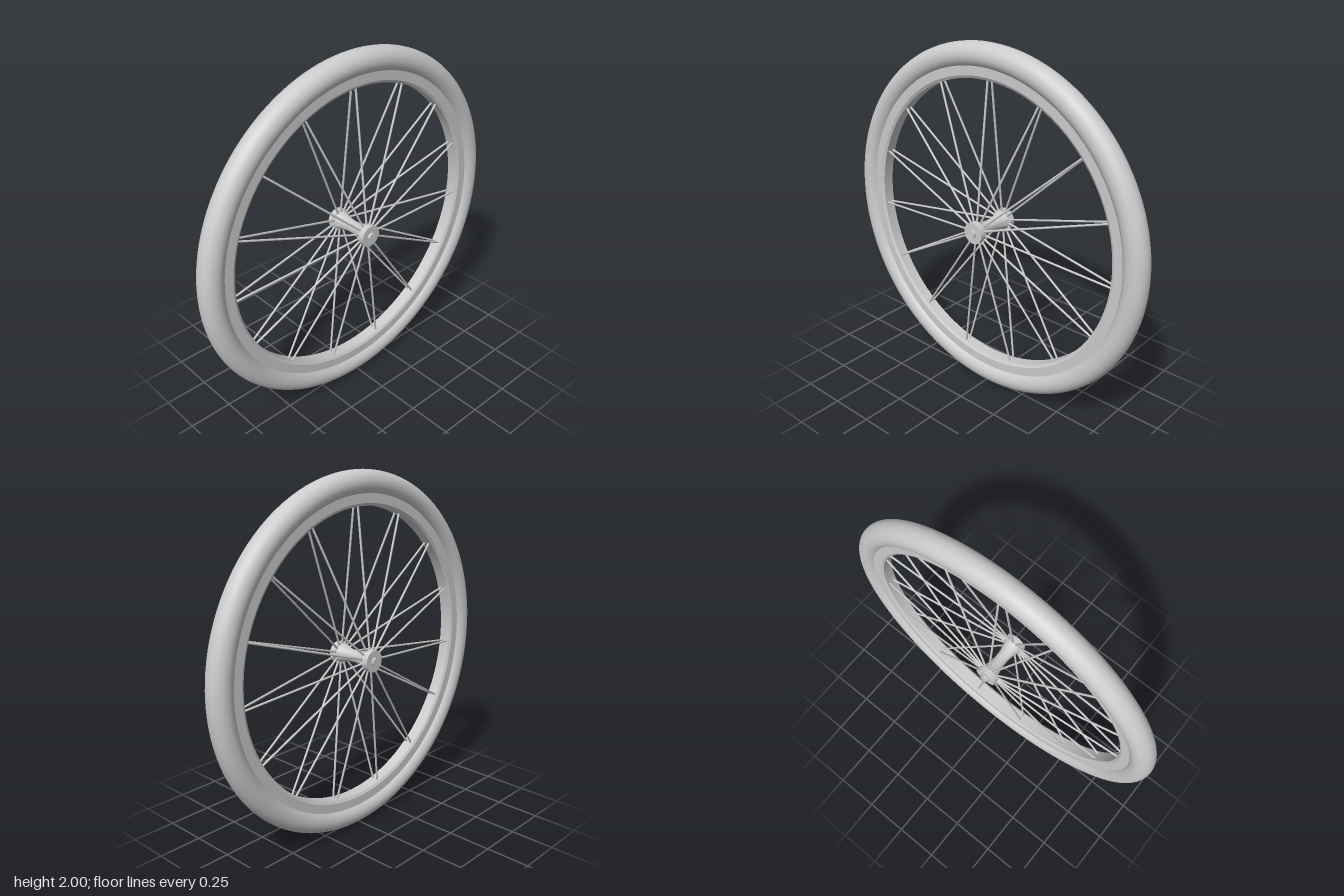
import * as THREE from 'three';
import { toCreasedNormals } from 'three/addons/utils/BufferGeometryUtils.js';

const material = new THREE.MeshStandardMaterial({ color: 0xcccccc });
const SPOKES = 15;

// Revolves a [radius, x] profile around the wheel's x axis, keeping edges sharp.
function revolve(name, profile, segments) {
  const points = profile.map(([r, x]) => new THREE.Vector2(r, x));
  const geometry = toCreasedNormals(new THREE.LatheGeometry(points, segments), 0.5);
  geometry.rotateZ(-Math.PI / 2);
  const mesh = new THREE.Mesh(geometry, material);
  mesh.name = name;
  return mesh;
}

// Thin rod between two points.
function rod(name, start, end, radius) {
  const direction = end.clone().sub(start);
  const mesh = new THREE.Mesh(new THREE.CylinderGeometry(radius, radius, direction.length(), 8), material);
  mesh.position.copy(start).add(end).multiplyScalar(0.5);
  mesh.quaternion.setFromUnitVectors(new THREE.Vector3(0, 1, 0), direction.normalize());
  mesh.name = name;
  return mesh;
}

export function createModel() {
  const wheel = new THREE.Group();
  wheel.name = 'wheel';
  wheel.position.y = 1;

  // Round tyre
  const tyre = new THREE.Mesh(new THREE.TorusGeometry(0.933, 0.067, 32, 128), material);
  tyre.rotation.y = Math.PI / 2;
  tyre.name = 'tyre';
  wheel.add(tyre);

  // Flat-sided rim with chamfered inner edges
  wheel.add(revolve('rim', [
    [0.9, -0.041], [0.9, 0.041], [0.83, 0.041], [0.815, 0.032],
    [0.815, -0.032], [0.83, -0.041], [0.9, -0.041],
  ], 128));

  // Waisted hub shell between the flanges
  const hubProfile = [];
  for (let i = 0; i <= 16; i++) {
    const t = i / 8 - 1;
    hubProfile.push([0.034 + 0.021 * t * t, 0.102 * t]);
  }
  wheel.add(revolve('hubShell', hubProfile, 32));

  // Axle running through the hub
  wheel.add(revolve('axle', [[0, -0.15], [0.022, -0.15], [0.022, 0.15], [0, 0.15]], 24));

  for (const side of [1, -1]) {
    // Hub flange
    const flange = revolve('hubFlange', [[0, -0.018], [0.061, -0.018], [0.061, 0.018], [0, 0.018]], 32);
    flange.position.x = side * 0.118;
    wheel.add(flange);

    // Spokes lean inward from the flange to the middle of the rim
    for (let i = 0; i < SPOKES; i++) {
      const a = (i / SPOKES) * Math.PI * 2;
      const at = (r, x) => new THREE.Vector3(side * x, r * Math.cos(a), r * Math.sin(a));
      wheel.add(rod('spoke', at(0.035, 0.104), at(0.825, 0.014), 0.006));
    }
  }

  const model = new THREE.Group();
  model.name = 'spokedWheel';
  model.add(wheel);
  return model;
}
